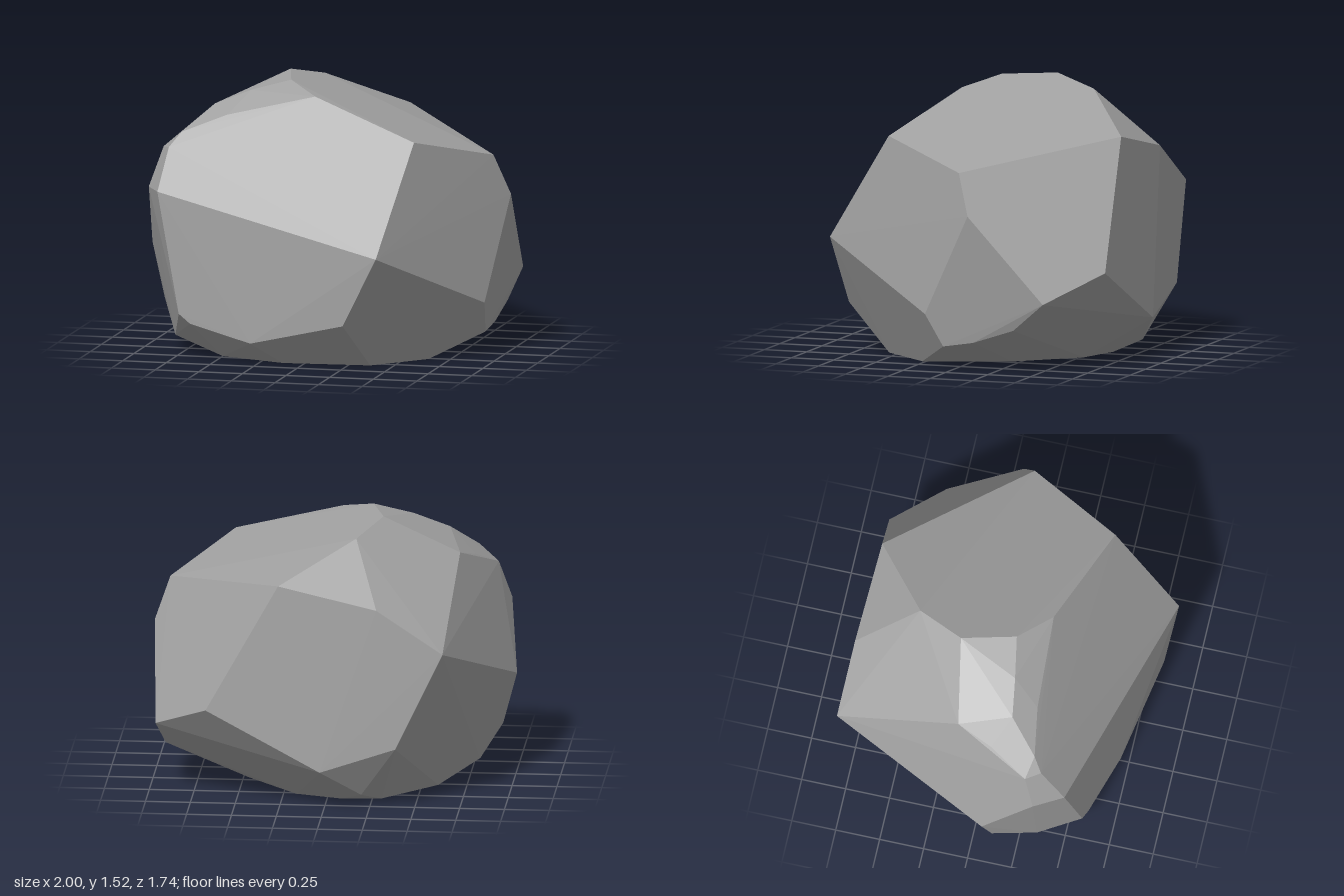
import * as THREE from 'three';
import { ConvexGeometry } from 'three/addons/geometries/ConvexGeometry.js';

// Corners of the boulder, ring by ring
const crown = [
  [-0.28, 1.52, -0.2], [-0.2, 1.51, 0.1], [-0.02, 1.45, 0.27], [-0.15, 1.46, -0.46],
  [-0.42, 1.45, 0.14], [-0.62, 1.37, 0.17], [0.6, 1.25, 0.48], [0.92, 1.11, -0.05],
  [0.26, 1.26, -0.77], [-0.29, 1.14, -0.8], [-0.7, 1.3, -0.12], [-0.77, 1.24, 0.08],
  [-0.52, 1.33, 0.29], [-0.77, 1.23, 0.33], [-0.88, 1.14, 0.3], [-0.83, 1.15, 0.38],
];
const sides = [
  [0.48, 0.65, 0.87], [-0.86, 0.92, 0.52], [-0.95, 0.92, 0.36], [-1, 0.56, 0.08],
  [-0.66, 0.9, -0.82], [0.66, 0.55, -0.82], [0.96, 0.4, -0.56], [1, 0.88, -0.13],
  [0.92, 0.31, 0.15], [-0.4, 0.36, -0.86], [0.02, 0.22, -0.87],
];
const foot = [
  [0.9, 0.13, 0.05], [0.91, 0.16, -0.13], [0.92, 0.24, -0.37], [0.28, 0.26, 0.83],
  [-0.28, 0.12, 0.71], [-0.65, 0.2, 0.61], [-0.72, 0.25, 0.59], [-0.92, 0.26, 0.12],
  [-0.8, 0.08, 0.02], [-0.8, 0.09, 0.35], [-0.2, 0.06, -0.73],
];
// Flat resting face, as x and z
const base = [
  [0.63, 0.27], [0.57, 0.08], [0.47, -0.2], [0.18, -0.52], [-0.08, -0.6], [-0.3, -0.58],
  [-0.59, -0.27], [-0.58, 0.12], [-0.5, 0.46], [-0.12, 0.6], [0.37, 0.56],
];

export function createModel() {
  const group = new THREE.Group();
  group.name = 'boulder';

  const stone = new THREE.MeshStandardMaterial({ color: 0xa0a0a0, flatShading: true });
  stone.name = 'grey stone';

  const points = [...crown, ...sides, ...foot, ...base.map(([x, z]) => [x, 0, z])]
    .map((p) => new THREE.Vector3(...p));
  const rock = new THREE.Mesh(new ConvexGeometry(points), stone);
  rock.name = 'rock';
  group.add(rock);
  return group;
}
